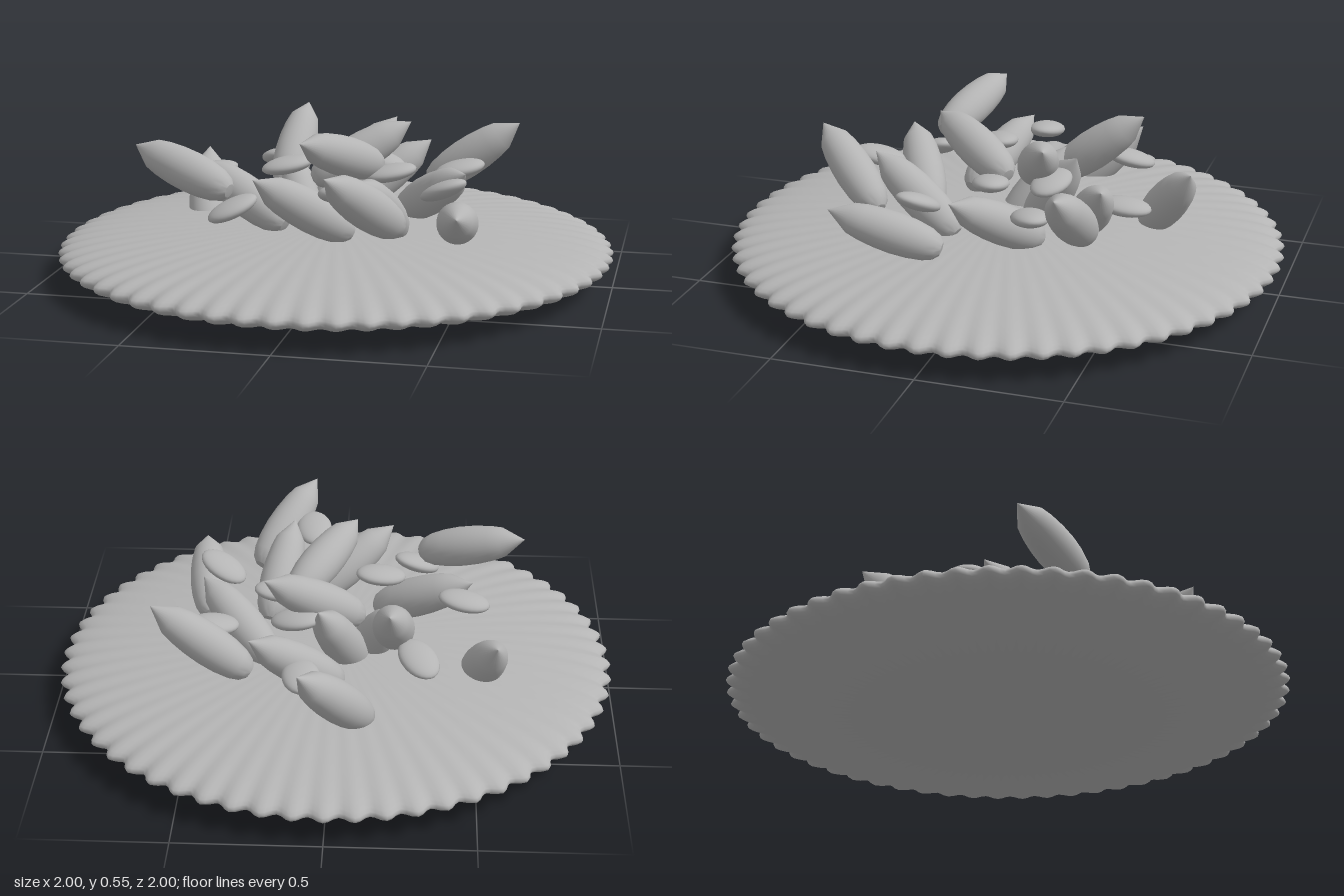
import * as THREE from 'three';
import { toCreasedNormals } from 'three/addons/utils/BufferGeometryUtils.js';

const POD_LENGTH = 0.42;

// Lens-shaped dish with a fluted rim
function dishGeometry() {
  const g = new THREE.SphereGeometry(1, 360, 32);
  const p = g.attributes.position;
  for (let i = 0; i < p.count; i++) {
    const a = Math.atan2(p.getZ(i), p.getX(i));
    const k = 0.985 + 0.015 * Math.cos(60 * a);
    p.setXYZ(i, p.getX(i) * k, 0.1 + p.getY(i) * 0.1, p.getZ(i) * k);
  }
  g.computeVertexNormals();
  return g;
}

// Plump pod: round base at the origin, conical tip along +y
function podGeometry() {
  const profile = [
    [0, 0], [0.025, 0.004], [0.045, 0.022], [0.059, 0.055], [0.069, 0.11],
    [0.073, 0.17], [0.071, 0.23], [0.064, 0.29], [0.054, 0.335], [0, POD_LENGTH],
  ].map(([r, y]) => new THREE.Vector2(r, y));
  return toCreasedNormals(new THREE.LatheGeometry(profile, 28), 0.5);
}

// Tip x, y, z, then base x, z; the base height follows from the pod length
const PODS = [
  [0.10, 0.45, -0.69, -0.13, -0.49],
  [0.62, 0.51, -0.35, 0.28, -0.37],
  [-0.57, 0.37, -0.36, -0.50, -0.06],
  [-0.20, 0.54, -0.45, -0.22, -0.12],
  [0.28, 0.42, -0.42, -0.03, -0.28],
  [0.24, 0.53, -0.20, -0.10, -0.07],
  [0.48, 0.40, 0.06, 0.21, -0.19],
  [-0.07, 0.53, 0.28, 0.15, -0.05],
  [0.17, 0.44, 0.44, 0.25, 0.11],
  [0.10, 0.50, 0.67, 0.30, 0.38],
  [-0.20, 0.43, 0.43, 0.11, 0.25],
  [0.51, 0.34, 0.49, 0.46, 0.09],
  [-0.68, 0.49, 0.22, -0.30, 0.35],
  [-0.49, 0.40, 0.05, -0.14, 0.19],
  [0.05, 0.45, -0.27, -0.09, -0.06],
  [-0.20, 0.40, -0.17, -0.08, 0.05],
];

// Seed centre, then direction of its long axis
const SEEDS = [
  [0.10, 0.31, -0.46, 0.1, 0.1, 1],
  [-0.30, 0.34, -0.38, 0.5, 0.3, 0.9],
  [0.42, 0.36, -0.21, 1, 0.2, -0.5],
  [-0.46, 0.36, -0.01, 1, 0.2, 0],
  [-0.16, 0.41, 0.08, 1, 0.2, -0.4],
  [-0.29, 0.31, 0.36, 1, 0.5, -0.6],
  [0.10, 0.40, 0.45, 0.1, 0.2, 1],
  [0.42, 0.37, 0.19, 1, 0.5, 0.5],
  [0.20, 0.38, 0.00, 1, 0.2, -0.3],
  [0.13, 0.38, -0.20, 1, -0.2, 0.3],
];

export function createModel() {
  const model = new THREE.Group();
  model.name = 'dishOfPods';
  const gray = new THREE.MeshStandardMaterial({ color: 0xb4b4b4 });
  gray.name = 'gray';

  const add = (geometry, name) => {
    const mesh = new THREE.Mesh(geometry, gray);
    mesh.name = name;
    model.add(mesh);
    return mesh;
  };

  add(dishGeometry(), 'dish');

  // Pods leaning outward in a loose heap
  const podGeo = podGeometry();
  const up = new THREE.Vector3(0, 1, 0);
  PODS.forEach(([tx, ty, tz, bx, bz], i) => {
    const plan = Math.hypot(tx - bx, tz - bz);
    const rise = Math.sqrt(Math.max(0, POD_LENGTH ** 2 - plan ** 2));
    const pod = add(podGeo, `pod${i + 1}`);
    pod.position.set(bx, ty - rise, bz);
    pod.quaternion.setFromUnitVectors(up, new THREE.Vector3(tx - bx, rise, tz - bz).normalize());
  });

  // Flat oval seeds between the pods
  const seedGeo = new THREE.SphereGeometry(1, 24, 16).scale(0.066, 0.03, 0.094);
  SEEDS.forEach(([x, y, z, dx, dy, dz], i) => {
    const seed = add(seedGeo, `seed${i + 1}`);
    seed.position.set(x, y, z);
    seed.lookAt(x + dx, y + dy, z + dz);
  });

  return model;
}
